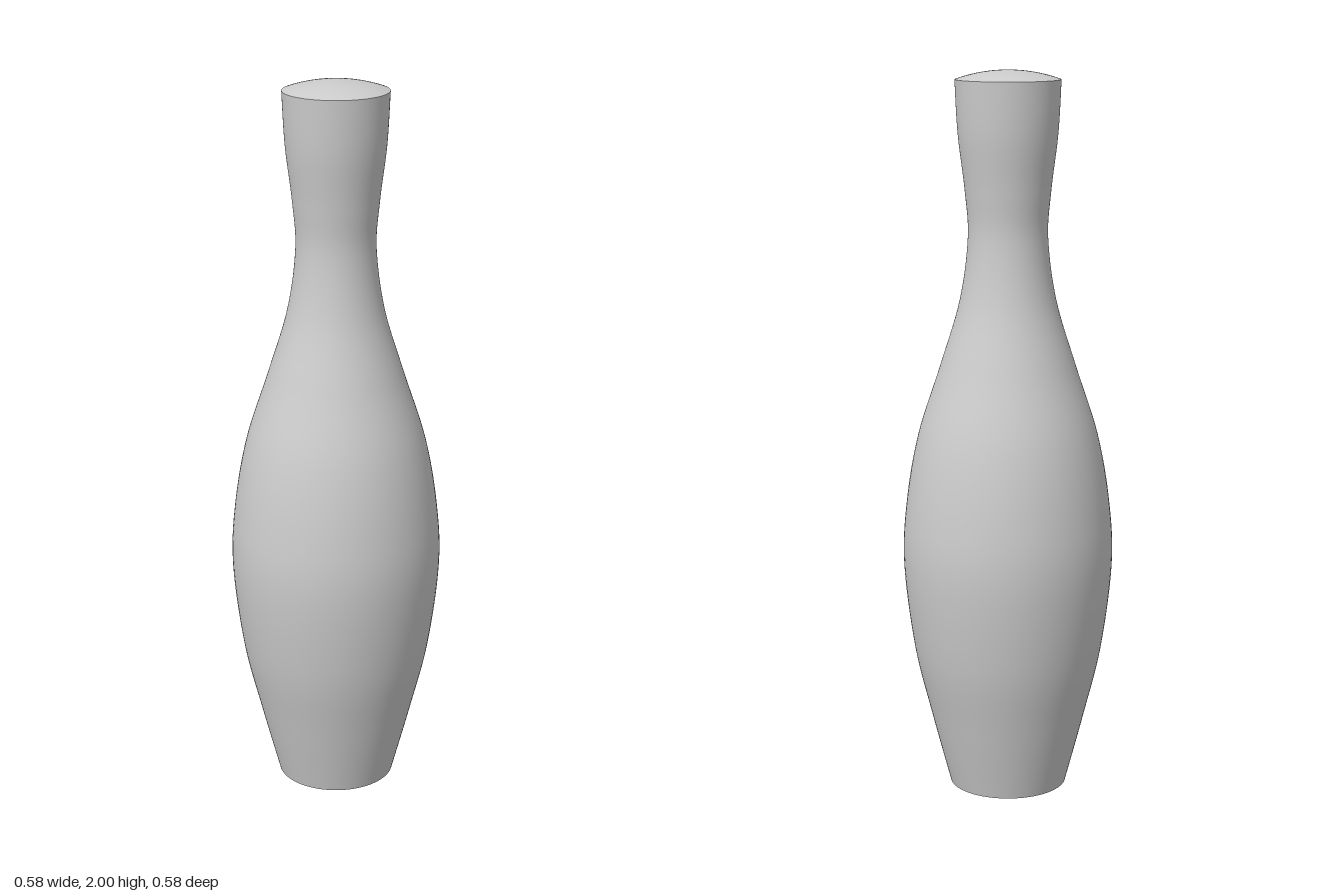
import * as THREE from 'three';

const SEGMENTS = 96;
const TOP_RADIUS = 0.143, RIM_Y = 1.975, DOME_HEIGHT = 0.025, BASE_RADIUS = 0.163;

export function createModel() {
  const group = new THREE.Group();
  group.name = 'pin';
  const material = new THREE.MeshStandardMaterial({ color: 0xcccccc });

  const add = (name, geometry) => {
    const mesh = new THREE.Mesh(geometry, material);
    mesh.name = name;
    group.add(mesh);
    return mesh;
  };

  // Body: smooth turned profile with belly, neck and flared head
  const profile = new THREE.SplineCurve([
    [BASE_RADIUS, 0], [0.215, 0.2], [0.262, 0.4], [0.29, 0.64], [0.281, 0.82],
    [0.247, 1.01], [0.186, 1.2], [0.132, 1.38], [0.109, 1.55], [0.117, 1.68],
    [0.135, 1.83], [TOP_RADIUS, RIM_Y],
  ].map(([r, y]) => new THREE.Vector2(r, y)));
  add('body', new THREE.LatheGeometry(profile.getPoints(88), SEGMENTS));

  // Top cap: shallow spherical dome meeting the head at a sharp rim
  const domeRadius = (TOP_RADIUS ** 2 + DOME_HEIGHT ** 2) / (2 * DOME_HEIGHT);
  const halfAngle = Math.asin(TOP_RADIUS / domeRadius);
  const dome = [];
  for (let i = 0; i <= 12; i++) {
    const a = halfAngle * (1 - i / 12);
    dome.push(new THREE.Vector2(
      domeRadius * Math.sin(a),
      RIM_Y + DOME_HEIGHT - domeRadius * (1 - Math.cos(a)),
    ));
  }
  add('topCap', new THREE.LatheGeometry(dome, SEGMENTS));

  // Flat base disc facing down
  add('base', new THREE.CircleGeometry(BASE_RADIUS, SEGMENTS).rotateX(Math.PI / 2));

  return group;
}
